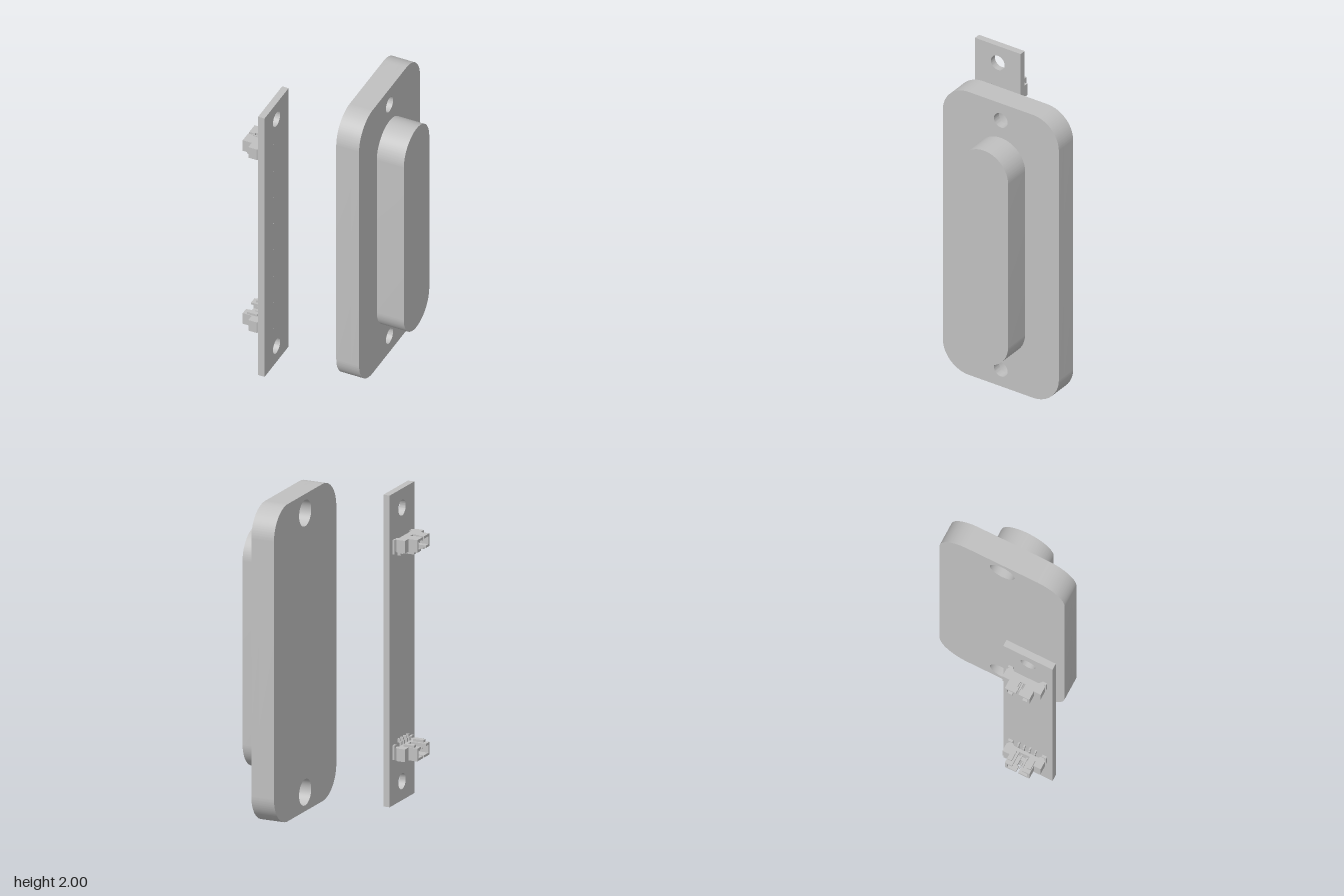
import * as THREE from 'three';
import { toCreasedNormals } from 'three/addons/utils/BufferGeometryUtils.js';

const grey = new THREE.MeshStandardMaterial({ color: 0xc0c0c0 });
grey.name = 'plain grey';

function addMesh(parent, name, geometry) {
  const mesh = new THREE.Mesh(geometry, grey);
  mesh.name = name;
  parent.add(mesh);
  return mesh;
}

// Box given by its limits on each axis
function addBox(parent, name, [x0, x1], [y0, y1], [z0, z1]) {
  const mesh = addMesh(parent, name, new THREE.BoxGeometry(x1 - x0, y1 - y0, z1 - z0));
  mesh.position.set((x0 + x1) / 2, (y0 + y1) / 2, (z0 + z1) / 2);
}

// Rounded slab standing in the z-y plane, with round holes [z, y, radius]
function slab([x0, x1], [y0, y1], [z0, z1], r, holes = []) {
  const a = -z1, b = -z0, s = new THREE.Shape();
  if (r > 0) {
    s.absarc(b - r, y0 + r, r, -Math.PI / 2, 0);
    s.absarc(b - r, y1 - r, r, 0, Math.PI / 2);
    s.absarc(a + r, y1 - r, r, Math.PI / 2, Math.PI);
    s.absarc(a + r, y0 + r, r, Math.PI, Math.PI * 1.5);
  } else {
    s.moveTo(a, y0).lineTo(b, y0).lineTo(b, y1).lineTo(a, y1);
  }
  for (const [z, y, radius] of holes) {
    s.holes.push(new THREE.Path().absarc(-z, y, radius, 0, Math.PI * 2, true));
  }
  const g = new THREE.ExtrudeGeometry(s, { depth: x1 - x0, bevelEnabled: false, curveSegments: 24 });
  g.rotateY(Math.PI / 2).translate(x0, 0, 0);
  return toCreasedNormals(g, 0.5);
}

// Flat part drawn in the x-z plane, with thickness along y
function flatPart(points, thickness, yMid) {
  const s = new THREE.Shape(points.map(([x, z]) => new THREE.Vector2(x, z)));
  const g = new THREE.ExtrudeGeometry(s, { depth: thickness, bevelEnabled: false });
  return g.rotateX(Math.PI / 2).translate(0, yMid + thickness / 2, 0);
}

// Side-entry socket; flip places it at the upper end, turned over
function makeConnector(name, flip) {
  const group = new THREE.Group();
  group.name = name;
  const Y = (a, b) => (flip ? [2.005 - b, 2.005 - a] : [a, b]);
  const mid = 0.333;
  const Z = (side, a, b) => (side > 0 ? [mid + a, mid + b] : [mid - b, mid - a]);
  const box = (part, x, y, z) => addBox(group, part, x, Y(...y), z);

  // outer wall with a notch that opens into a wider pocket
  const half = [[-0.465, 0.008], [-0.425, 0.008], [-0.425, 0.018], [-0.387, 0.018]];
  const outline = [[-0.345, 0.083], [-0.465, 0.083], ...half];
  const points = [...outline, ...outline.slice().reverse().map(([x, d]) => [x, -d])];
  const wall = points.map(([x, d]) => [x, mid + d]);
  const [w0, w1] = Y(0.305, 0.32);
  addMesh(group, 'socketWall', flatPart(wall, 0.015, (w0 + w1) / 2));

  box('socketBack', [-0.365, -0.345], [0.32, 0.385], [mid - 0.083, mid + 0.083]);
  for (const side of [-1, 1]) {
    box('socketSide', [-0.465, -0.345], [0.32, 0.385], Z(side, 0.068, 0.083));
    box('socketLip', [-0.465, -0.345], [0.37, 0.385], Z(side, 0.035, 0.068));
    box('latchRail', [-0.44, -0.37], [0.385, 0.4], Z(side, 0.05, 0.078));

    // mounting ear with chamfered corner, and its solder tab
    const ear = [[-0.405, 0.083], [-0.405, 0.13], [-0.35, 0.13], [-0.33, 0.11], [-0.33, 0.098], [-0.345, 0.083]];
    const [e0, e1] = Y(0.305, 0.385);
    addMesh(group, 'mountingEar', flatPart(ear.map(([x, d]) => [x, mid + side * d]), 0.08, (e0 + e1) / 2));
    box('solderTab', [-0.335, -0.32], [0.31, 0.4], Z(side, 0.1, 0.13));
  }
  // contacts and their solder feet
  for (let i = 0; i < 4; i++) {
    const z = mid + (i - 1.5) * 0.038;
    box('contactPin', [-0.43, -0.345], [0.342, 0.352], [z - 0.005, z + 0.005]);
    box('contactLeg', [-0.347, -0.335], [0.342, 0.41], [z - 0.005, z + 0.005]);
    box('contactFoot', [-0.34, -0.32], [0.4, 0.425], [z - 0.005, z + 0.005]);
  }
  box('centreKey', [-0.44, -0.385], [0.31, 0.316], [mid - 0.004, mid + 0.004]);
  return group;
}

export function createModel() {
  const model = new THREE.Group();
  model.name = 'sensorHousingAndBoard';

  // Housing plate: wide screw recesses at the back, narrow holes at the front
  const housing = new THREE.Group();
  housing.name = 'housing';
  const holes = (r) => [[-0.075, 0.12, r], [-0.075, 1.88, r]];
  addMesh(housing, 'plateBack', slab([0.13, 0.23], [0, 2], [-0.5, 0.35], 0.19, holes(0.083)));
  addMesh(housing, 'plateFront', slab([0.23, 0.283], [0, 2], [-0.5, 0.35], 0.19, holes(0.05)));
  addMesh(housing, 'raisedBoss', slab([0.283, 0.464], [0.25, 1.757], [-0.253, 0.103], 0.1779));
  model.add(housing);

  // Circuit board with two screw holes
  const board = new THREE.Group();
  board.name = 'circuitBoard';
  addMesh(board, 'boardPanel', slab([-0.321, -0.278], [0.02, 1.985], [0.165, 0.5], 0,
    [[mid0, 0.14, 0.05], [mid0, 1.865, 0.05]]));
  // tiny solder pads along the face
  for (let i = 0; i < 8; i++) {
    const y = 0.3 + i * 0.2;
    addBox(board, 'solderPad', [-0.278, -0.276], [y - 0.004, y + 0.004], [0.376, 0.384]);
  }
  model.add(board);

  model.add(makeConnector('lowerConnector', false), makeConnector('upperConnector', true));
  return model;
}

const mid0 = 0.333;
